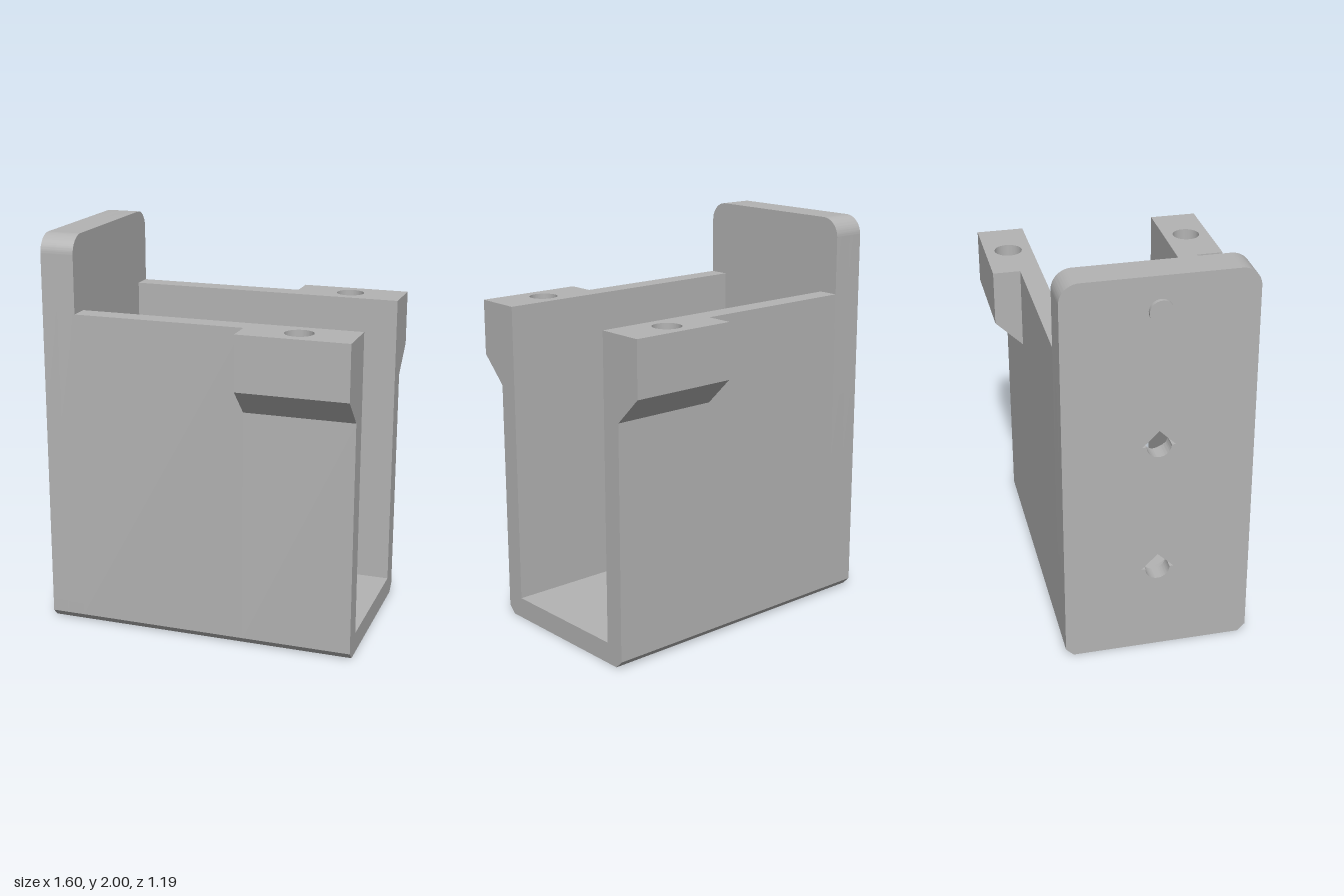
import * as THREE from 'three';
import { toCreasedNormals } from 'three/addons/utils/BufferGeometryUtils.js';

const grey = new THREE.MeshStandardMaterial({ color: 0xb3b3b3 });
grey.name = 'plain grey';

const HALF = 0.458;   // half width of the body
const INNER = 0.355;  // half width of the channel
const FLOOR = 0.105;  // top of the channel floor
const RIM = 1.62;     // top of the side walls
const CHAMFER = 0.038;

function addMesh(group, name, geometry) {
  const mesh = new THREE.Mesh(toCreasedNormals(geometry, 0.5), grey);
  mesh.name = name;
  group.add(mesh);
  return mesh;
}

// Extrude a (z, y) profile along x, from x0 to x1
function alongX(shape, x0, x1) {
  const g = new THREE.ExtrudeGeometry(shape, { depth: x1 - x0, bevelEnabled: false, curveSegments: 20 });
  return g.rotateY(Math.PI / 2).translate(x0, 0, 0);
}

const polygon = (points) => new THREE.Shape(points.map(([a, b]) => new THREE.Vector2(a, b)));

// Make a symmetric outline from the points of its right half
const mirrored = (half) => polygon([...half, ...half.map(([a, b]) => [-a, b]).reverse()]);

// Arrow-topped round hole
function arrowHole(y, w, r) {
  const p = new THREE.Path();
  p.moveTo(w, y);
  p.lineTo(0, y + w);
  p.lineTo(-w, y);
  p.lineTo(-r, y);
  p.absarc(0, y, r, Math.PI, 2 * Math.PI, false);
  p.lineTo(w, y);
  return p;
}

// Tall end plate outline with rounded top corners and two holes
function plateShape(w, r) {
  const s = new THREE.Shape();
  const R = 0.095;
  s.moveTo(-HALF + CHAMFER, 0);
  s.lineTo(HALF - CHAMFER, 0);
  s.lineTo(HALF, CHAMFER);
  s.lineTo(HALF, 2 - R);
  s.absarc(HALF - R, 2 - R, R, 0, Math.PI / 2, false);
  s.lineTo(-HALF + R, 2);
  s.absarc(-HALF + R, 2 - R, R, Math.PI / 2, Math.PI, false);
  s.lineTo(-HALF, CHAMFER);
  s.closePath();
  for (const y of [0.457, 1.143]) s.holes.push(arrowHole(y, w, r));
  return s;
}

export function createModel() {
  const model = new THREE.Group();
  model.name = 'bracket';

  // End plate: narrow holes outside, wide recesses inside
  addMesh(model, 'endPlateOuter', alongX(plateShape(0.08, 0.06), -0.78, -0.7));
  addMesh(model, 'endPlateInner', alongX(plateShape(0.158, 0.115), -0.7, -0.61));

  // Small round peg on the outside of the plate
  const peg = addMesh(model, 'peg', new THREE.CylinderGeometry(0.057, 0.057, 0.04, 32).rotateZ(Math.PI / 2));
  peg.position.set(-0.78, 1.832, 0);

  // U-shaped channel, plain part
  addMesh(model, 'channel', alongX(mirrored([
    [HALF - CHAMFER, 0], [HALF, CHAMFER], [HALF, RIM], [INNER, RIM], [INNER, FLOOR],
  ]), -0.61, 0.25));

  // Channel mouth, with walls flaring out under the ears
  addMesh(model, 'channelMouth', alongX(mirrored([
    [HALF - CHAMFER, 0], [HALF, CHAMFER], [HALF, 1.21], [0.595, 1.345], [INNER, 1.345], [INNER, FLOOR],
  ]), 0.25, 0.8));

  // Ears with blind screw holes from above
  for (const side of [-1, 1]) {
    const ear = polygon([[0.25, INNER], [0.8, INNER], [0.8, 0.595], [0.25, 0.595]].map(([x, z]) => [x, z * side]));
    const hole = new THREE.Path();
    hole.absarc(0.525, 0.475 * side, 0.07, 0, Math.PI * 2, false);
    ear.holes.push(hole);
    const g = new THREE.ExtrudeGeometry(ear, { depth: RIM - 1.345, bevelEnabled: false, curveSegments: 36 });
    g.rotateX(-Math.PI / 2).translate(0, 1.345, 0);
    addMesh(model, side > 0 ? 'backEar' : 'frontEar', g);
  }

  return model;
}
